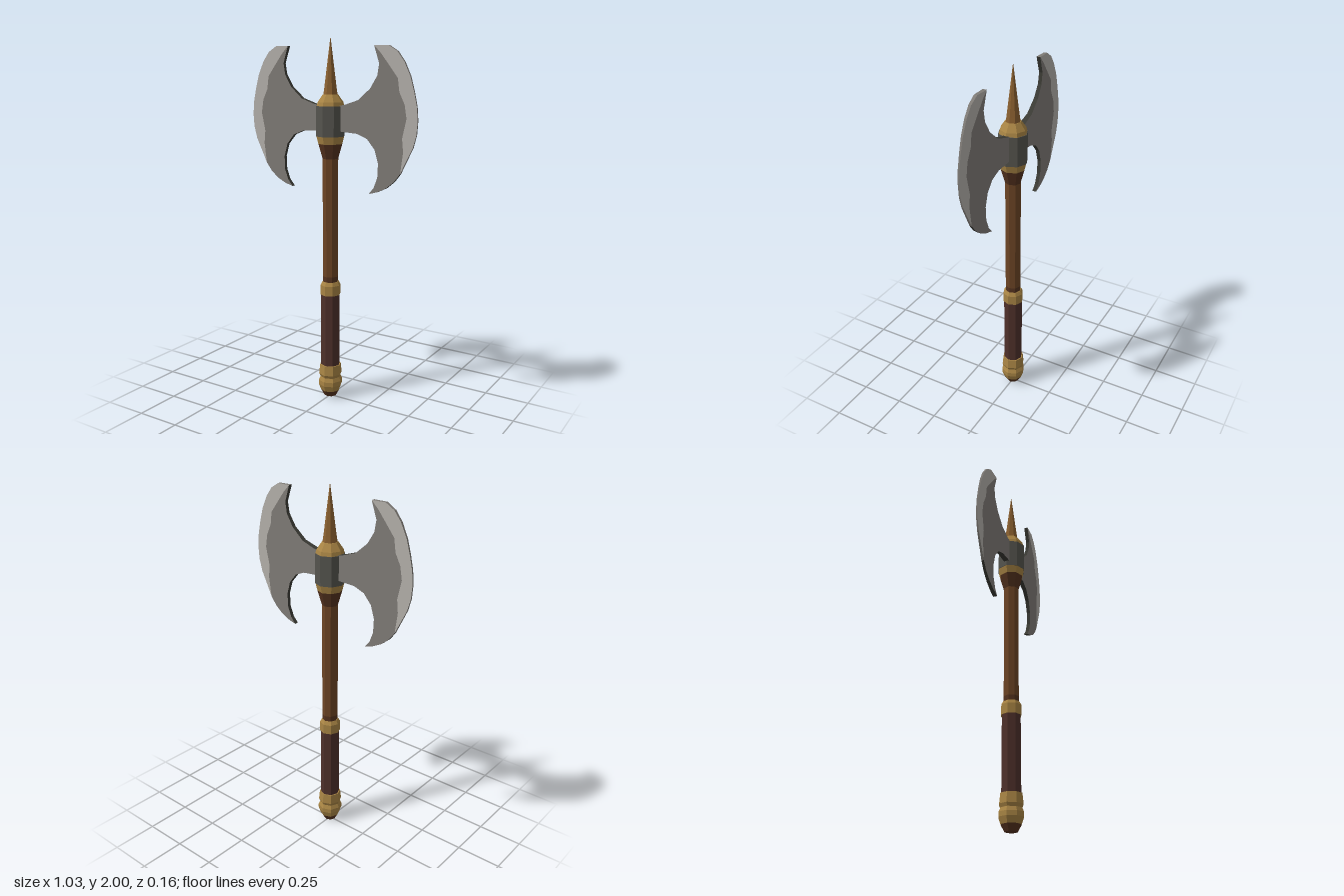
import * as THREE from 'three';

const mat = (name, color) => new THREE.MeshStandardMaterial({ name, color, flatShading: true });

export function createModel() {
  const gold = mat('gold', 0xa88444);
  const bronze = mat('bronze', 0x8a6030);
  const wood = mat('wood', 0x6c4424);
  const darkWood = mat('darkWood', 0x55331f);
  const leather = mat('leather', 0x4e302a);
  const iron = mat('iron', 0x55544e);
  const darkSteel = mat('darkSteel', 0x3a3a34);
  const steel = mat('steel', 0x7f7b76);
  const edgeSteel = mat('edgeSteel', 0xb4b0ab);

  const axe = new THREE.Group();
  axe.name = 'battleAxe';

  // Eight-sided turned parts: [radius, height] from bottom to top
  const turned = (name, material, profile) => {
    const points = profile.map(([r, y]) => new THREE.Vector2(r, y));
    const mesh = new THREE.Mesh(new THREE.LatheGeometry(points, 8), material);
    mesh.name = name;
    axe.add(mesh);
  };
  turned('pommelCap', darkWood, [[0, 0], [0.035, 0.005], [0.055, 0.04]]);
  turned('pommel', gold, [[0.055, 0.04], [0.068, 0.075], [0.068, 0.1], [0.058, 0.122], [0.066, 0.14], [0.06, 0.195], [0.05, 0.195]]);
  turned('grip', leather, [[0.054, 0.19], [0.053, 0.615]]);
  turned('gripRing', gold, [[0.05, 0.61], [0.057, 0.61], [0.057, 0.665], [0.046, 0.685], [0.04, 0.685]]);
  turned('shaftFoot', darkWood, [[0.043, 0.68], [0.043, 0.715]]);
  turned('shaft', wood, [[0.043, 0.715], [0.043, 1.37]]);
  turned('shaftFlare', darkWood, [[0.043, 1.37], [0.066, 1.45]]);
  turned('lowerCollar', gold, [[0.066, 1.45], [0.076, 1.49], [0.07, 1.49]]);
  turned('socket', iron, [[0.06, 1.49], [0.078, 1.49], [0.078, 1.65], [0.06, 1.65]]);
  turned('upperCollar', gold, [[0.075, 1.65], [0.07, 1.67], [0.042, 1.71], [0.03, 1.71]]);
  turned('spike', bronze, [[0.04, 1.7], [0.034, 1.74], [0.001, 2]]);

  // Blade outline: inner curves, ragged sharpening line and outer cutting edge
  const innerTop = [[0.05, 1.65], [0.1, 1.66], [0.175, 1.685], [0.245, 1.745], [0.285, 1.81], [0.295, 1.87], [0.265, 1.96]];
  const sharpLine = [[0.305, 1.92], [0.345, 1.87], [0.4, 1.8], [0.41, 1.73], [0.44, 1.67], [0.452, 1.6], [0.43, 1.5], [0.437, 1.43], [0.423, 1.32]];
  const outerTop = [[0.49, 1.455], [0.508, 1.52], [0.513, 1.59], [0.507, 1.66], [0.49, 1.735], [0.468, 1.81], [0.434, 1.88], [0.395, 1.93], [0.345, 1.96], [0.265, 1.96]];
  const lower = [[0.388, 1.275], [0.345, 1.24], [0.295, 1.215], [0.243, 1.2], [0.272, 1.235], [0.293, 1.29], [0.296, 1.365], [0.275, 1.435], [0.23, 1.488], [0.17, 1.512], [0.05, 1.52]];

  // Plate tapering in thickness from the socket to the cutting edge
  const plate = (outline) => {
    const shape = new THREE.Shape(outline.map(([x, y]) => new THREE.Vector2(x, y)));
    const geometry = new THREE.ExtrudeGeometry(shape, { depth: 1, bevelEnabled: false });
    const p = geometry.attributes.position;
    for (let i = 0; i < p.count; i++) {
      const half = 0.018 - 0.027 * p.getX(i);
      p.setZ(i, p.getZ(i) > 0.5 ? half : -half);
    }
    geometry.computeVertexNormals();
    return geometry;
  };
  const bodyGeometry = plate([...innerTop, ...sharpLine, ...lower]);
  const edgeGeometry = plate([...sharpLine, ...outerTop]);

  for (const [name, turn] of [['leftBlade', 0], ['rightBlade', Math.PI]]) {
    const blade = new THREE.Group();
    blade.name = name;
    const body = new THREE.Mesh(bodyGeometry, [steel, darkSteel]);
    body.name = 'bladeBody';
    const edge = new THREE.Mesh(edgeGeometry, [edgeSteel, steel]);
    edge.name = 'cuttingEdge';
    blade.add(body, edge);
    blade.rotation.y = turn;
    axe.add(blade);
  }
  return axe;
}
